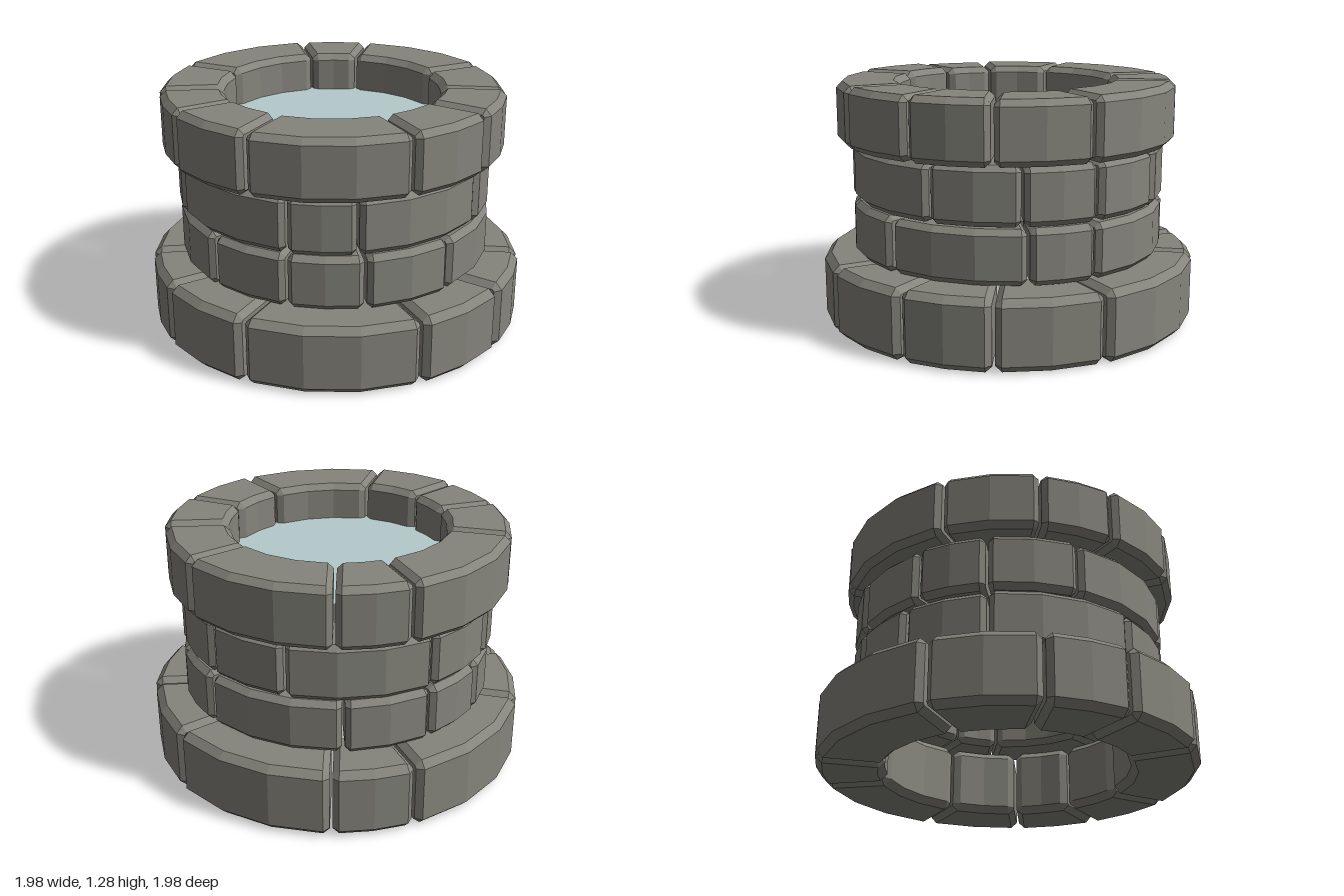
import * as THREE from 'three';

const DEG = Math.PI / 180;
const stoneMat = new THREE.MeshStandardMaterial({ color: 0x85847c, flatShading: true });
const waterMat = new THREE.MeshStandardMaterial({ color: 0xb4cacc });

// Joints between the ten stones of a course, in degrees from +x towards +z
const JOINTS = [-102, -77.5, -26, 6.5, 34, 64.5, 117, 148, 173.5, 205.5, 258];

// Chamfered rectangle in (radius, height), counter-clockwise
function section(r0, r1, y0, y1, c) {
  return [
    [r1 - c, y0], [r1, y0 + c], [r1, y1 - c], [r1 - c, y1],
    [r0 + c, y1], [r0, y1 - c], [r0, y0 + c], [r0 + c, y0],
  ];
}

// Curved block swept from angle a to b, with bevelled ends
function stoneGeometry(a, b, r0, r1, y0, y1, c) {
  const gap = 0.007, end = c * 0.9, inset = c * 0.8;
  const full = section(r0, r1, y0, y1, c);
  const small = section(r0 + inset, r1 - inset, y0 + inset, y1 - inset, c * 0.3);
  const steps = b - a > 42 * DEG ? 3 : 2;
  const rings = [];
  const add = (pts, angleAt) => rings.push(pts.map(([r, y]) => {
    const t = angleAt(r);
    return [r * Math.cos(t), y, r * Math.sin(t)];
  }));
  add(small, (r) => a + gap / r);
  for (let i = 0; i <= steps; i++) {
    add(full, (r) => {
      const m = (gap + end) / r;
      return a + m + (b - a - 2 * m) * (i / steps);
    });
  }
  add(small, (r) => b - gap / r);

  const pos = [], index = [], n = full.length;
  rings.forEach((ring) => ring.forEach((p) => pos.push(...p)));
  const last = (rings.length - 1) * n;
  for (let i = 0; i < rings.length - 1; i++) {
    for (let j = 0; j < n; j++) {
      const k = (j + 1) % n, p = i * n, q = p + n;
      index.push(p + j, p + k, q + k, p + j, q + k, q + j);
    }
  }
  for (let j = 1; j < n - 1; j++) {
    index.push(0, j + 1, j, last, last + j, last + j + 1);
  }
  const g = new THREE.BufferGeometry();
  g.setAttribute('position', new THREE.Float32BufferAttribute(pos, 3));
  g.setIndex(index);
  const flat = g.toNonIndexed();
  flat.computeVertexNormals();
  return flat;
}

// One ring of stones; flip reverses the order of the joints
function course({ name, r0, r1, y0, y1, c, turn = 0, flip = false, x = 0, z = 0 }) {
  const group = new THREE.Group();
  group.name = name;
  const joints = flip ? JOINTS.map((d) => turn - d).reverse() : JOINTS.map((d) => d + turn);
  for (let i = 0; i < joints.length - 1; i++) {
    // Slight unevenness from stone to stone
    const w = 0.004 * Math.sin(i * 2.3 + y0 * 7);
    const mesh = new THREE.Mesh(
      stoneGeometry(joints[i] * DEG, joints[i + 1] * DEG, r0 + w, r1 + w, y0, y1 + w, c), stoneMat);
    mesh.name = 'stone';
    group.add(mesh);
  }
  group.position.set(x, 0, z);
  return group;
}

export function createModel() {
  const well = new THREE.Group();
  well.name = 'stoneWell';
  well.add(
    course({ name: 'baseCourse', r0: 0.64, r1: 0.995, y0: 0.005, y1: 0.37, c: 0.036 }),
    course({ name: 'lowerWallCourse', r0: 0.53, r1: 0.825, y0: 0.375, y1: 0.658, c: 0.03, turn: 73 }),
    course({ name: 'upperWallCourse', r0: 0.53, r1: 0.825, y0: 0.662, y1: 0.957, c: 0.03, turn: 4, flip: true, x: -0.01 }),
    course({ name: 'rimCourse', r0: 0.565, r1: 0.895, y0: 0.96, y1: 1.28, c: 0.032, x: -0.015, z: 0.01 }),
  );

  // Water surface just below the rim
  const water = new THREE.Mesh(new THREE.CircleGeometry(0.62, 32), waterMat);
  water.name = 'water';
  water.rotation.x = -Math.PI / 2;
  water.position.set(-0.015, 1.08, 0.01);
  well.add(water);
  return well;
}
